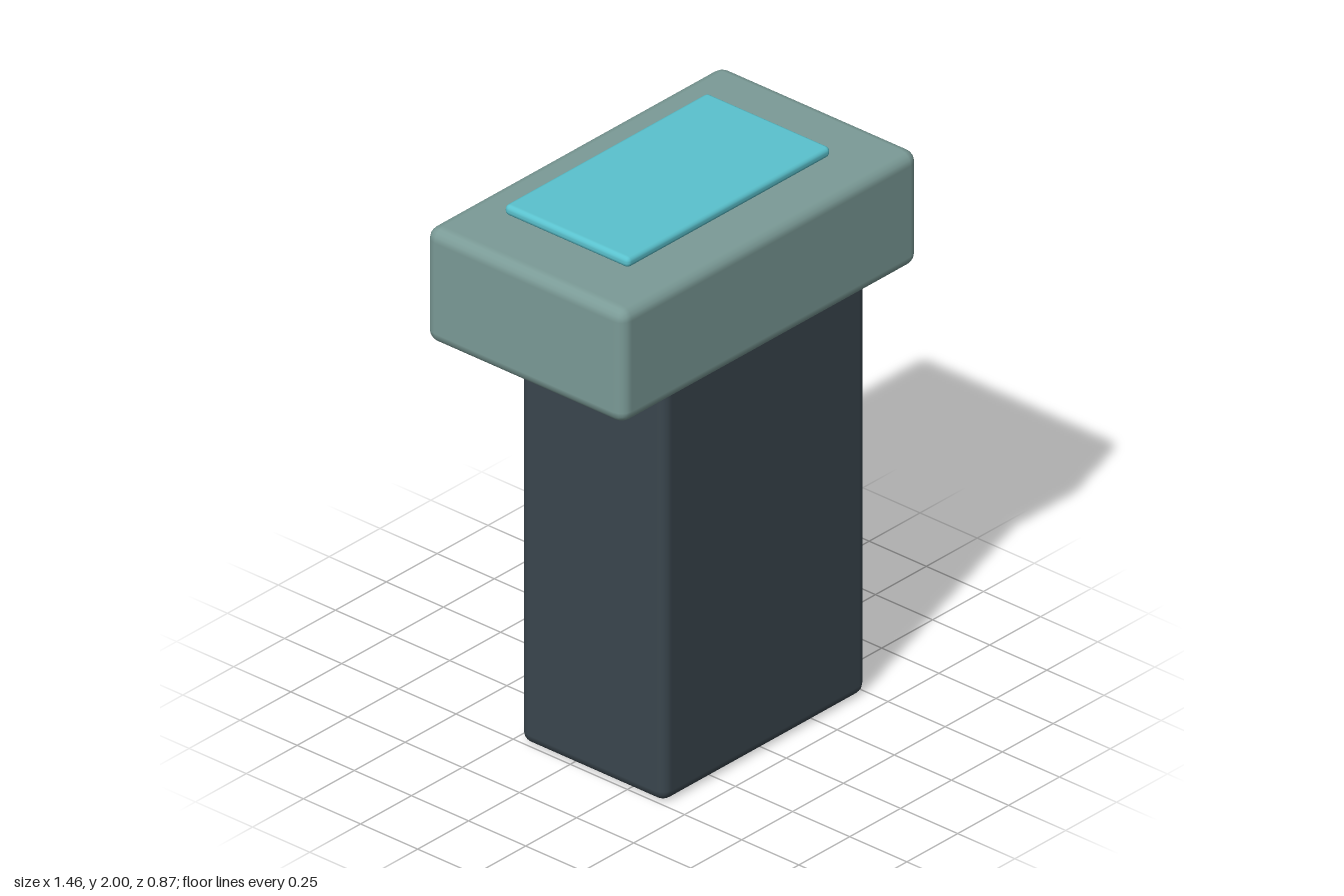
import * as THREE from 'three';
import { RoundedBoxGeometry } from 'three/addons/geometries/RoundedBoxGeometry.js';

const material = (name, color) => {
  const m = new THREE.MeshStandardMaterial({ color });
  m.name = name;
  return m;
};

export function createModel() {
  const slate = material('dark slate', 0x3a464e);
  const sage = material('grey green', 0x7b9b97);
  const cyan = material('cyan', 0x5ac2ce);

  const model = new THREE.Group();
  model.name = 'device';

  const add = (name, geometry, mat, x, y, z) => {
    const mesh = new THREE.Mesh(geometry, mat);
    mesh.name = name;
    mesh.position.set(x, y, z);
    model.add(mesh);
    return mesh;
  };

  // Main housing: upright body, wide head and top panel
  add('body', new RoundedBoxGeometry(1, 1.58, 0.635, 2, 0.04), slate, 0, 0.795, 0.0925);
  add('head', new RoundedBoxGeometry(1.46, 0.43, 0.87, 2, 0.045), sage, 0, 1.745, 0);
  add('topPanel', new RoundedBoxGeometry(1, 0.04, 0.545, 2, 0.018), cyan, 0, 1.98, -0.02);

  // Back face details
  const back = -0.225;
  add('indicatorLight', new THREE.BoxGeometry(0.3, 0.06, 0.07), cyan, 0, 1.405, back - 0.025);

  for (const y of [0.69, 0.83, 0.97]) {
    add('ventRib', new RoundedBoxGeometry(0.7, 0.05, 0.06, 1, 0.006), slate, 0, y, back - 0.01);
  }

  const screw = new THREE.CylinderGeometry(0.034, 0.034, 0.05, 12);
  screw.rotateX(Math.PI / 2);
  for (const x of [-0.36, 0.36]) {
    for (const y of [0.255, 1.405]) add('screw', screw, sage, x, y, back - 0.014);
  }

  return model;
}
